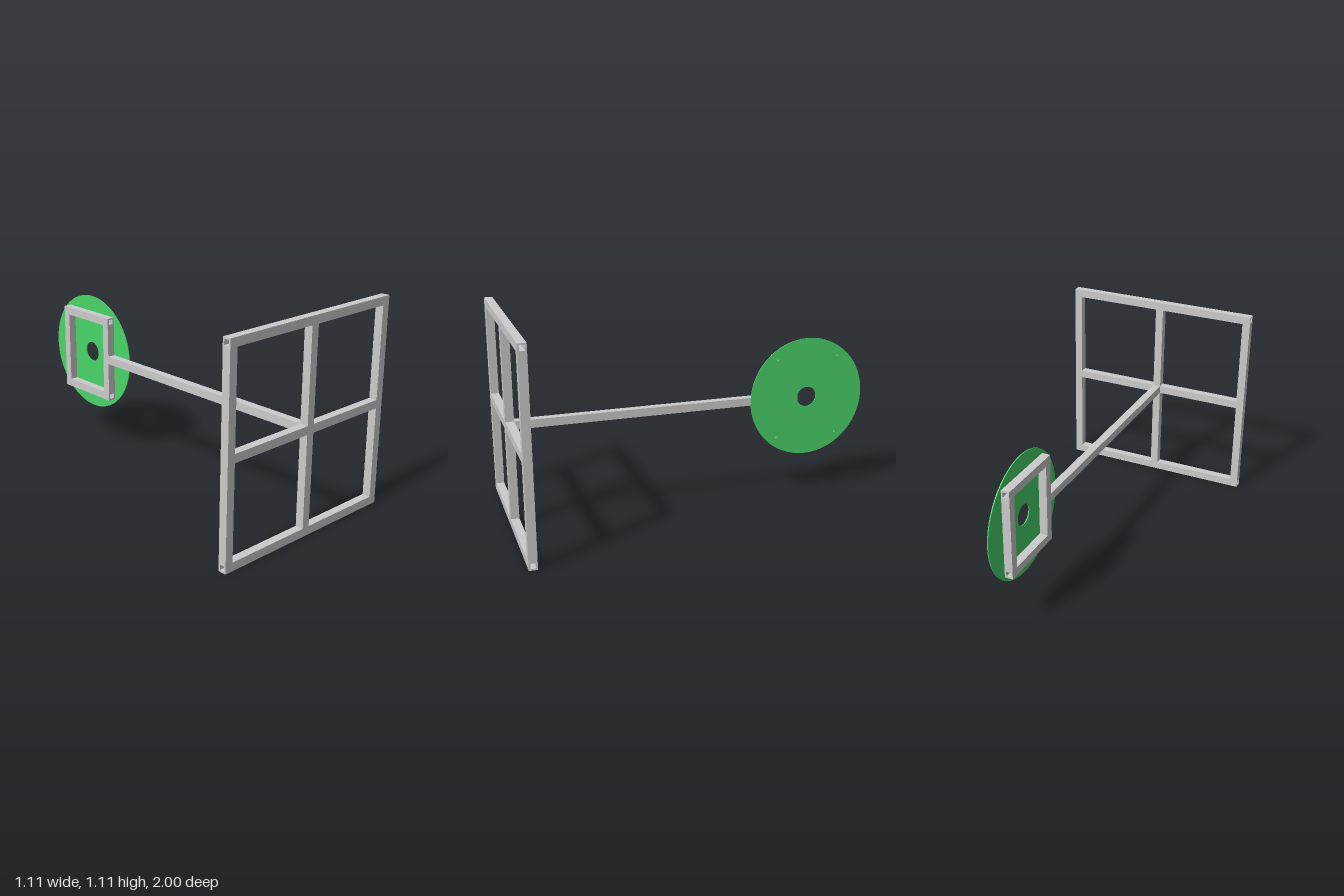
import * as THREE from 'three';

const T = 0.0444, WALL = 0.0085; // square tube size and wall
const H = 1.11, S = T / 2, MID = H / 2;
const grey = new THREE.MeshStandardMaterial({ color: 0xcccccc });
const green = new THREE.MeshStandardMaterial({ color: 0x4ad56a });

function squarePath(path, h) {
  path.moveTo(-h, -h);
  path.lineTo(h, -h);
  path.lineTo(h, h);
  path.lineTo(-h, h);
  path.closePath();
  return path;
}

// Hollow square tube of a given length, centred at (x, y, z) along an axis
function tube(name, axis, length, x, y, z) {
  const shape = squarePath(new THREE.Shape(), S);
  shape.holes.push(squarePath(new THREE.Path(), S - WALL));
  const geo = new THREE.ExtrudeGeometry(shape, { depth: length, bevelEnabled: false });
  geo.translate(0, 0, -length / 2);
  if (axis === 'x') geo.rotateY(Math.PI / 2);
  if (axis === 'y') geo.rotateX(Math.PI / 2);
  const mesh = new THREE.Mesh(geo, grey);
  mesh.name = name;
  mesh.position.set(x, y, z);
  return mesh;
}

export function createModel() {
  const model = new THREE.Group();
  model.name = 'framedStand';

  // Large window-like frame: full-width rails with open ends, posts between
  const frame = new THREE.Group();
  frame.name = 'largeFrame';
  const zF = 1 - S;
  frame.add(tube('bottomRail', 'x', H, 0, S, zF));
  frame.add(tube('topRail', 'x', H, 0, H - S, zF));
  frame.add(tube('middleRail', 'x', H - 2 * T, 0, MID, zF));
  const half = (H - 3 * T) / 2;
  for (const s of [-1, 1]) {
    frame.add(tube('sidePost', 'y', H - 2 * T, s * (MID - S), MID, zF));
    frame.add(tube('centrePost', 'y', half, 0, MID + s * (S + half / 2), zF));
  }
  model.add(frame);

  // Long arm between the two frames
  const front = 1 - T, back = -0.467;
  model.add(tube('arm', 'z', front - back, 0, MID, (front + back) / 2));

  // Small rectangular frame carrying the disc
  const small = new THREE.Group();
  small.name = 'discFrame';
  const zD = -0.667, dz = 0.178, dy = 0.222;
  for (const s of [-1, 1]) {
    small.add(tube('discFrameRail', 'z', 2 * dz + T, 0, MID + s * dy, zD));
    small.add(tube('discFramePost', 'y', 2 * dy - T, 0, MID, zD + s * dz));
  }
  model.add(small);

  // Thin disc with a centre hole and four bolt holes
  const shape = new THREE.Shape().absarc(0, 0, 0.333, 0, Math.PI * 2);
  const drill = (x, y, r) => shape.holes.push(new THREE.Path().absarc(x, y, r, 0, Math.PI * 2, true));
  drill(0, 0, 0.056);
  for (const a of [-1, 1]) for (const b of [-1, 1]) drill(a * dz, b * dy, 0.005);
  const geo = new THREE.ExtrudeGeometry(shape, { depth: 0.0055, bevelEnabled: false, curveSegments: 48 });
  geo.rotateY(Math.PI / 2);
  const disc = new THREE.Mesh(geo, green);
  disc.name = 'disc';
  disc.position.set(S, MID, zD);
  model.add(disc);

  return model;
}
